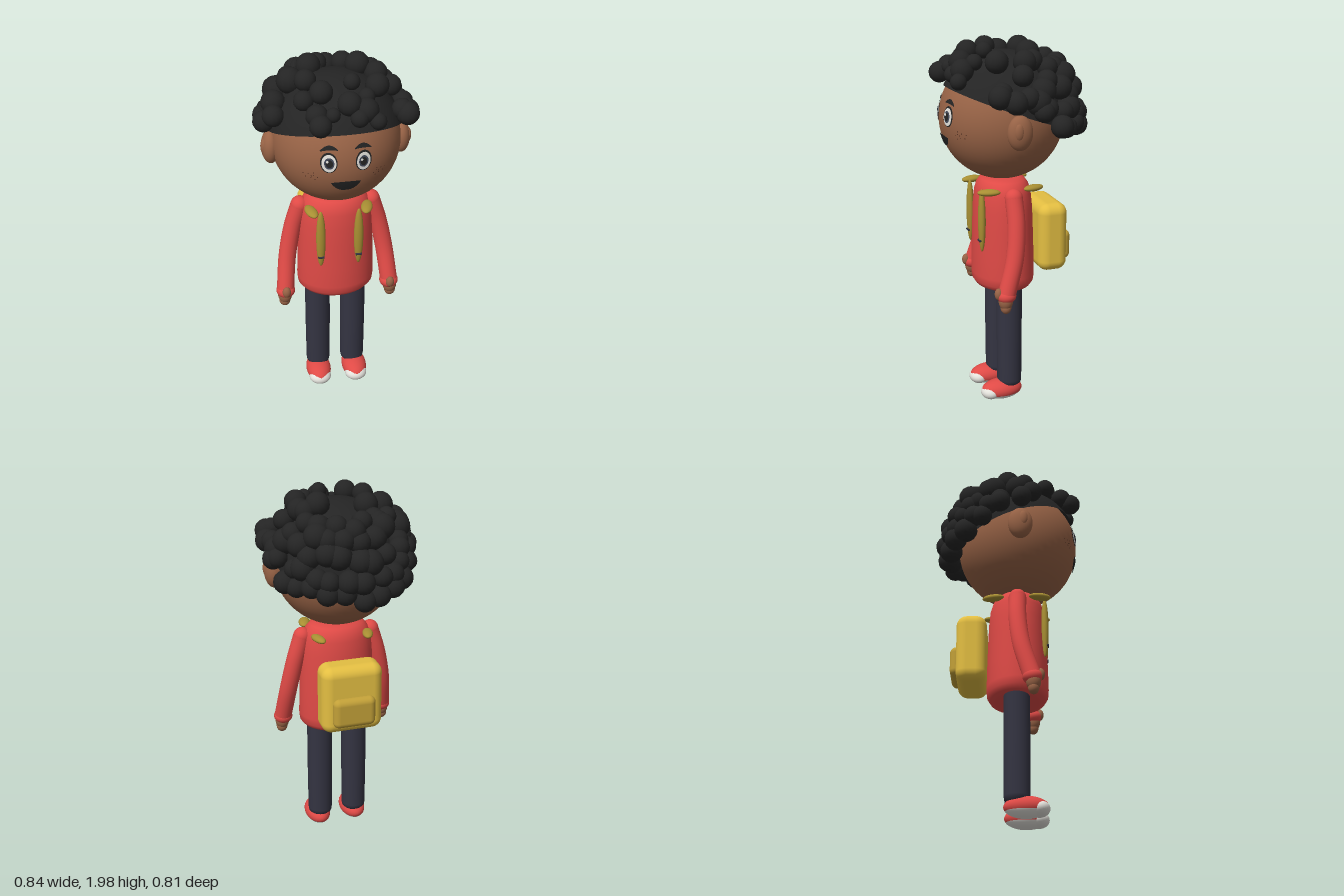
import * as THREE from 'three';
import { RoundedBoxGeometry } from 'three/addons/geometries/RoundedBoxGeometry.js';

const mat = (name, color, side = THREE.FrontSide) => {
  const m = new THREE.MeshStandardMaterial({ color, side });
  m.name = name;
  return m;
};

const HEAD = new THREE.Vector3(0, 1.58, 0.045);
const HEAD_R = 0.327;

export function createModel() {
  const skin = mat('skin', 0x986346);
  const black = mat('black', 0x242424, THREE.DoubleSide);
  const red = mat('red', 0xdf4a46);
  const navy = mat('navy', 0x343442);
  const white = mat('white', 0xe4e2dc);
  const yellow = mat('yellow', 0xe3be42);
  const olive = mat('olive', 0xa88f33);
  const ochre = mat('ochre', 0xc2a038);
  const grey = mat('iris grey', 0x414858);
  const brown = mat('dark brown', 0x5a3626);

  const model = new THREE.Group();
  model.name = 'student';
  const add = (name, geo, material, x = 0, y = 0, z = 0, parent = model) => {
    const mesh = new THREE.Mesh(geo, material);
    mesh.name = name;
    mesh.position.set(x, y, z);
    parent.add(mesh);
    return mesh;
  };
  const ball = new THREE.SphereGeometry(1, 32, 20);
  const ellipsoid = (name, material, p, s, parent) => {
    const mesh = add(name, ball, material, ...p, parent);
    mesh.scale.set(...s);
    return mesh;
  };

  // Head and ears
  add('head', new THREE.SphereGeometry(HEAD_R, 48, 32), skin, HEAD.x, HEAD.y, HEAD.z).scale.x = 1.01;
  for (const s of [-1, 1]) {
    ellipsoid('ear', skin, [s * 0.333, 1.56, 0.063], [0.047, 0.09, 0.066]);
    ellipsoid('innerEar', skin, [s * 0.364, 1.57, 0.078], [0.02, 0.045, 0.026]);
  }

  // Thin face details, wrapped onto the front of the head
  const wrap = (geo, lift) => {
    const p = geo.attributes.position;
    for (let i = 0; i < p.count; i++) {
      const dx = p.getX(i), dy = p.getY(i) - HEAD.y;
      p.setZ(i, HEAD.z + Math.sqrt((HEAD_R + lift) ** 2 - dx * dx - dy * dy));
    }
    geo.computeVertexNormals();
    return geo;
  };
  const disc = (name, material, x, y, rx, ry, lift, seg = 28) =>
    add(name, wrap(new THREE.RingGeometry(0, 1, seg, 3).scale(rx, ry, 1).translate(x, y, 0), lift), material);
  const band = (name, x, halfWidth, bottom, top) => {
    const geo = new THREE.PlaneGeometry(2, 1, 20, 4), p = geo.attributes.position;
    for (let i = 0; i < p.count; i++) {
      const u = p.getX(i), v = p.getY(i) + 0.5;
      p.setXY(i, x + u * halfWidth, bottom(u) * (1 - v) + top(u) * v);
    }
    add(name, wrap(geo, 0.005), black);
  };
  band('mouth', 0, 0.075, u => 1.448 + 0.052 * Math.abs(u) ** 2.6, u => 1.507 - 0.007 * u * u);
  for (const s of [-1, 1]) {
    disc('eyeOutline', black, s * 0.085, 1.614, 0.041, 0.053, 0.003);
    disc('eyeWhite', white, s * 0.085, 1.612, 0.035, 0.046, 0.005);
    disc('iris', grey, s * 0.084, 1.613, 0.024, 0.03, 0.007);
    disc('pupil', black, s * 0.084, 1.613, 0.017, 0.021, 0.0085);
    disc('eyeGlint', white, s * 0.084 - 0.009, 1.624, 0.006, 0.007, 0.0098, 12);
    const arch = u => 1.69 - 0.014 * u * u - 0.004 * u * s;
    const thick = u => 0.011 * (1 - u * u * 0.8);
    band('eyebrow', s * 0.083, 0.042, u => arch(u) - thick(u), u => arch(u) + thick(u));
    for (let i = 0; i < 9; i++) {
      const a = i * 2.4, d = 0.014 * Math.sqrt(i);
      disc('freckle', brown, s * (0.165 + d * Math.cos(a)), 1.53 + 0.6 * d * Math.sin(a), 0.003, 0.003, 0.002, 8);
    }
  }

  // Hair: a tilted cap covered with round curls
  const TILT = -0.35;
  const cap = add('hairCap', new THREE.SphereGeometry(0.345, 48, 20, 0, Math.PI * 2, 0, 1.41), black, HEAD.x, HEAD.y, HEAD.z - 0.004);
  cap.rotation.x = TILT;
  const curls = new THREE.Group();
  curls.name = 'curls';
  model.add(curls);
  const curlGeo = new THREE.SphereGeometry(1, 14, 10);
  const curl = (x, y, z, r) => add('curl', curlGeo, black, x, y, z, curls).scale.setScalar(r);
  // x, z and radius of the loose curls on the front, sides and crown
  const loose = [
    [-0.12, 0.342, 0.055], [-0.095, 0.2, 0.058], [-0.18, 0.2, 0.05], [-0.055, 0.31, 0.036], [-0.13, 0.29, 0.055],
    [0.03, 0.275, 0.06], [0.12, 0.23, 0.042], [0.06, 0.16, 0.042], [0.11, 0.29, 0.06], [0.16, 0.325, 0.042],
    [0.07, 0.325, 0.045], [0.19, 0.135, 0.06], [0.315, 0.15, 0.053], [0.34, 0.17, 0.06], [0.357, 0.09, 0.06],
    [0.36, -0.055, 0.055], [0.28, 0.03, 0.055], [0.21, -0.005, 0.06], [0.125, -0.05, 0.063], [0.14, -0.17, 0.042],
    [0.27, -0.1, 0.055], [0.345, 0.02, 0.055], [-0.155, 0.085, 0.055], [-0.22, -0.005, 0.067], [-0.31, 0.045, 0.062],
    [-0.363, 0.07, 0.055], [-0.32, 0.125, 0.055], [-0.352, -0.045, 0.055], [-0.28, -0.08, 0.07], [-0.115, -0.09, 0.063],
    [-0.13, -0.17, 0.055], [0.19, -0.05, 0.055],
  ];
  for (const [x, z, r] of loose) {
    const dz = z - HEAD.z;
    const lift = Math.sqrt(Math.max(0, 0.378 ** 2 - x * x - dz * dz));
    curl(x, HEAD.y + Math.max(lift, 0.12 + 0.36 * dz), z, r);
  }
  // Dense rows of curls round the back: elevation, count and sideways reach
  let seed = 7;
  const rand = () => (seed = (seed * 16807) % 2147483647) / 2147483647;
  const rows = [[0.2, 10, 1.15], [0.4, 14, 1.6], [0.66, 11, 1.55], [0.92, 8, 1.4], [1.1, 5, 1.1]];
  for (const [elev, count, reach] of rows) {
    for (let i = 0; i < count; i++) {
      const a = reach * (2 * (i + rand() * 0.6 + 0.2) / count - 1);
      const e = elev + (rand() - 0.5) * 0.14;
      const R = 0.36 + rand() * 0.02 + 0.02 * Math.cos(a);
      const p = new THREE.Vector3(Math.sin(a) * Math.cos(e), Math.sin(e), -Math.cos(a) * Math.cos(e))
        .multiplyScalar(R).applyAxisAngle(new THREE.Vector3(1, 0, 0), TILT).add(HEAD);
      curl(p.x, p.y, p.z, 0.05 + rand() * 0.018);
    }
  }

  // Sweater body
  const profile = [[0, 0.652], [0.14, 0.653], [0.185, 0.665], [0.205, 0.69], [0.209, 0.73], [0.206, 0.85], [0.2, 1.0],
    [0.195, 1.1], [0.185, 1.18], [0.17, 1.22], [0.145, 1.248], [0.11, 1.262], [0, 1.264]].map(p => new THREE.Vector2(...p));
  add('sweater', new THREE.LatheGeometry(profile, 40), red, 0, 0, 0.042).scale.z = 0.79;

  for (const s of [-1, 1]) {
    // Sleeve with a rounded shoulder and cuff
    const path = new THREE.CatmullRomCurve3([[0.19, 1.185, 0.045], [0.23, 1.05, 0.045], [0.264, 0.88, 0.065], [0.286, 0.69, 0.118]]
      .map(([x, y, z]) => new THREE.Vector3(s * x, y, z)));
    add('sleeve', new THREE.TubeGeometry(path, 24, 0.047, 20), red);
    ellipsoid('shoulder', red, [s * 0.19, 1.185, 0.045], [0.047, 0.047, 0.047]);
    ellipsoid('cuff', red, [s * 0.285, 0.687, 0.12], [0.051, 0.04, 0.052]);

    // Hand
    ellipsoid('palm', skin, [s * 0.29, 0.66, 0.125], [0.038, 0.05, 0.038]);
    ellipsoid('fingers', skin, [s * 0.292, 0.623, 0.125], [0.03, 0.033, 0.028]);
    ellipsoid('thumb', skin, [s * 0.284, 0.7, 0.162], [0.023, 0.032, 0.021]);

    // Trouser leg
    const leg = [[0, 0.085], [0.05, 0.087], [0.064, 0.1], [0.067, 0.12], [0.069, 0.4], [0.069, 0.69]].map(p => new THREE.Vector2(...p));
    add('trouserLeg', new THREE.LatheGeometry(leg, 28), navy, s * 0.099, 0, 0.038);

    // Shoe: red upper, white sole and toe cap
    const shoe = new THREE.Group();
    shoe.name = 'shoe';
    shoe.position.set(s * 0.104, 0.063, 0.084);
    model.add(shoe);
    const split = 1.95;
    add('shoeUpper', new THREE.SphereGeometry(1, 28, 16, 0, Math.PI * 2, 0, split), red, 0, 0, 0, shoe).scale.set(0.07, 0.056, 0.115);
    add('shoeSole', new THREE.SphereGeometry(1, 28, 10, 0, Math.PI * 2, split, Math.PI - split), white, 0, 0, 0, shoe).scale.set(0.07, 0.056, 0.115);
    ellipsoid('toeCap', white, [0, -0.008, 0.064], [0.062, 0.042, 0.055], shoe);

    // Backpack straps
    ellipsoid('frontStrap', olive, [s * 0.1, 1.05, 0.19], [0.025, 0.172, 0.02]);
    add('strapBuckle', new RoundedBoxGeometry(0.034, 0.012, 0.012, 2, 0.004), navy, s * 0.1, 0.942, 0.204);
    ellipsoid('frontStrapEnd', olive, [s * 0.145, 1.212, 0.165], [0.03, 0.018, 0.06]).rotation.y = -s * 0.25;
    ellipsoid('backStrapEnd', olive, [s * 0.135, 1.212, -0.085], [0.028, 0.018, 0.06]).rotation.y = s * 0.25;
  }

  // Backpack with front pocket
  add('backpack', new RoundedBoxGeometry(0.33, 0.375, 0.162, 6, 0.055), yellow, 0, 0.923, -0.2);
  add('backpackPocket', new RoundedBoxGeometry(0.23, 0.165, 0.075, 5, 0.034), ochre, 0, 0.862, -0.277);
  return model;
}
